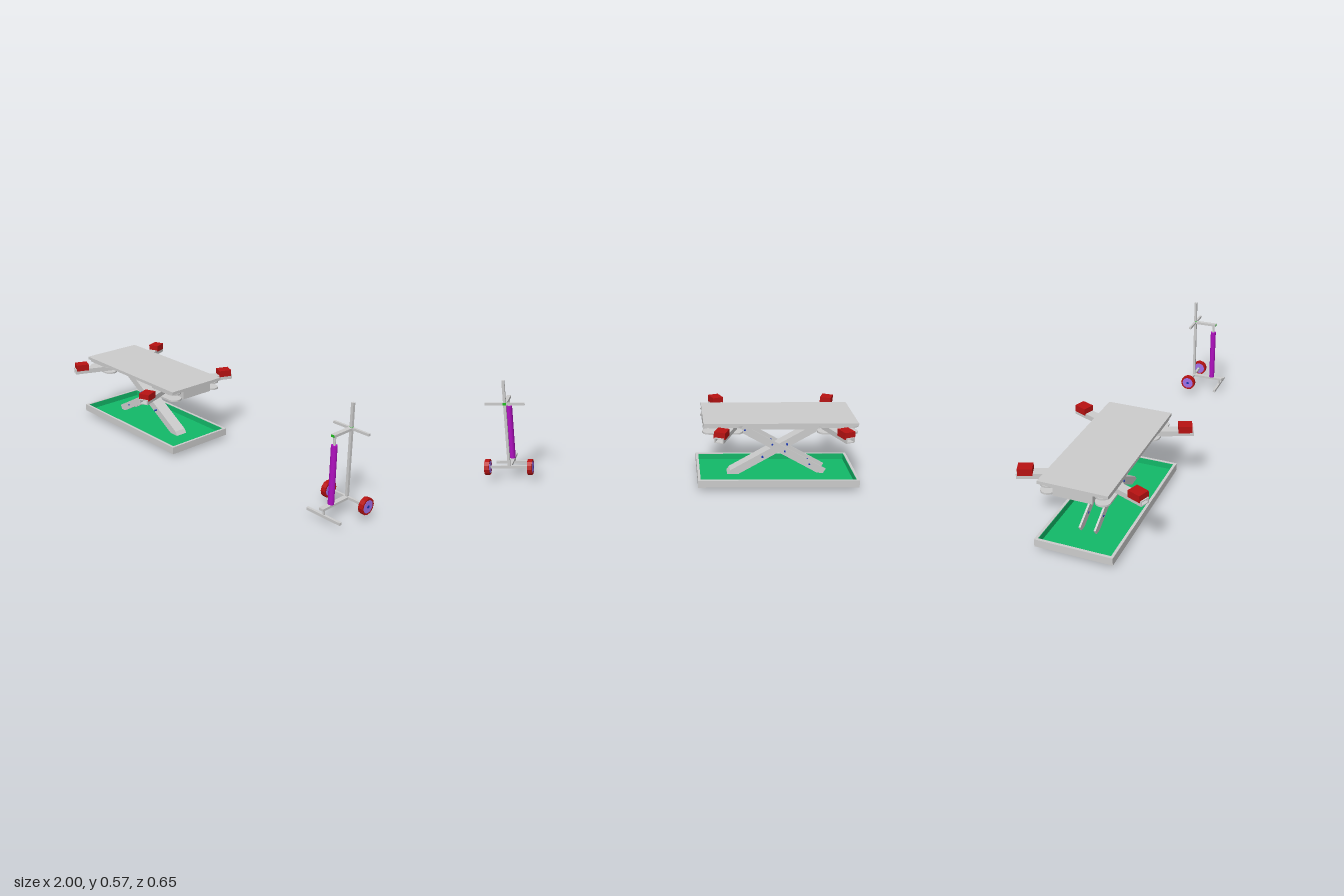
import * as THREE from 'three';

const mat = (color, side = THREE.FrontSide) => new THREE.MeshStandardMaterial({ color, side, flatShading: true });
const grey = mat(0xcccccc), red = mat(0xb81212), green = mat(0x12b868), purple = mat(0xb010c0);
const lilac = mat(0xa070e8), blue = mat(0x1535b8), lime = mat(0x1fc01f);

function add(parent, name, geometry, material, x = 0, y = 0, z = 0) {
  const mesh = new THREE.Mesh(geometry, material);
  mesh.name = name;
  mesh.position.set(x, y, z);
  parent.add(mesh);
  return mesh;
}
const box = (parent, name, m, w, h, d, x, y, z) => add(parent, name, new THREE.BoxGeometry(w, h, d), m, x, y, z);

function rect(Type, w, h) {
  const p = new Type();
  p.moveTo(-w / 2, -h / 2);
  p.lineTo(w / 2, -h / 2);
  p.lineTo(w / 2, h / 2);
  p.lineTo(-w / 2, h / 2);
  p.closePath();
  return p;
}
const extrude = (shape, depth) => new THREE.ExtrudeGeometry(shape, { depth, bevelEnabled: false, curveSegments: 12 });

// Rectangular frame lying flat, starting at y = 0
function frame(w, d, wall, height) {
  const s = rect(THREE.Shape, w, d);
  s.holes.push(rect(THREE.Path, w - 2 * wall, d - 2 * wall));
  return extrude(s, height).rotateX(-Math.PI / 2);
}

// Plate with rounded ends lying flat, starting at y = 0
function roundedPlate(length, width, height) {
  const r = width / 2, a = length / 2 - r, s = new THREE.Shape();
  s.absarc(a, 0, r, -Math.PI / 2, Math.PI / 2);
  s.absarc(-a, 0, r, Math.PI / 2, Math.PI * 1.5);
  s.closePath();
  return extrude(s, height).rotateX(-Math.PI / 2);
}

// Scissor leg with one chamfered corner at each end, centred on its pivot
function legGeometry(half, width, depth) {
  const w = width / 2, s = new THREE.Shape();
  s.moveTo(-half + 0.03, -w);
  s.lineTo(half, -w);
  s.lineTo(half, w * 0.3);
  s.lineTo(half - 0.03, w);
  s.lineTo(-half, w);
  s.lineTo(-half, -w * 0.3);
  s.closePath();
  return extrude(s, depth).translate(0, 0, -depth / 2);
}

function createLift() {
  const lift = new THREE.Group();
  lift.name = 'scissorLift';
  lift.position.x = -0.574;

  // Tray
  add(lift, 'trayRim', frame(0.852, 0.394, 0.014, 0.04), grey, 0, 0.028, 0);
  add(lift, 'trayLining', frame(0.824, 0.366, 0.002, 0.037), green, 0, 0.029, 0);
  box(lift, 'trayFloor', green, 0.824, 0.005, 0.366, 0, 0.0315, 0);

  // Scissor legs: one wide centre leg between a pair of thin legs
  const centre = add(lift, 'centreLeg', legGeometry(0.305, 0.042, 0.068), grey, 0, 0.18, 0);
  centre.rotation.z = -0.54;
  for (const s of [-1, 1]) {
    const leg = add(lift, 'outerLeg', legGeometry(0.3, 0.042, 0.01), grey, 0, 0.197, s * 0.039);
    leg.rotation.z = 0.51;
    for (const [x, y] of [[-0.182, 0.097], [-0.045, 0.172], [0.024, 0.212], [0.174, 0.295], [-0.056, 0.212], [0.074, 0.138]]) {
      const bolt = add(lift, 'bolt', new THREE.CylinderGeometry(0.005, 0.005, 0.016, 10), blue, x, y, s * 0.039);
      bolt.rotation.x = Math.PI / 2;
    }
  }

  // Platform with open channel underneath
  box(lift, 'platform', grey, 0.804, 0.016, 0.346, 0, 0.37, 0);
  add(lift, 'platformChannel', frame(0.8, 0.194, 0.012, 0.046), grey, 0, 0.317, 0);
  for (const s of [-1, 1]) box(lift, 'channelRail', grey, 0.37, 0.04, 0.01, 0, 0.342, s * 0.055);

  // Swing arms with pads, one at each corner
  for (const sx of [-1, 1]) for (const sz of [-1, 1]) {
    for (const y of [0.317, 0.353]) add(lift, 'armBracket', roundedPlate(0.212, 0.074, 0.009), grey, sx * 0.3, y, sz * 0.134);
    const arm = new THREE.Group();
    arm.name = 'swingArm';
    arm.position.set(sx * 0.257, 0.339, sz * 0.132);
    arm.rotation.y = Math.atan2(sx * 0.37, sz * 0.93);
    lift.add(arm);
    const tube = rect(THREE.Shape, 0.05, 0.027);
    tube.holes.push(rect(THREE.Path, 0.038, 0.017));
    add(arm, 'armTube', extrude(tube, 0.232), grey, 0, 0, -0.034);
    add(arm, 'armPivot', new THREE.CylinderGeometry(0.012, 0.012, 0.045, 12), grey);
    box(arm, 'liftPad', red, 0.06, 0.036, 0.07, 0, 0.024, 0.156);
  }
  return lift;
}

function createPumpTrolley() {
  const trolley = new THREE.Group();
  trolley.name = 'pumpTrolley';
  trolley.position.x = 0.87;
  const back = -0.046;

  // Wheels and axle
  for (const s of [-1, 1]) {
    const wheel = new THREE.Group();
    wheel.name = 'wheel';
    wheel.position.set(s * 0.115, 0.085, back);
    wheel.rotation.z = Math.PI / 2;
    trolley.add(wheel);
    add(wheel, 'tyre', new THREE.CylinderGeometry(0.043, 0.043, 0.026, 12), red);
    add(wheel, 'hub', new THREE.CylinderGeometry(0.033, 0.033, 0.028, 20), lilac);
    add(wheel, 'hubCap', new THREE.CylinderGeometry(0.008, 0.008, 0.03, 12), blue);
  }
  box(trolley, 'axle', grey, 0.21, 0.013, 0.013, 0, 0.0855, back);

  // Base beam and front foot
  box(trolley, 'baseBeam', grey, 0.026, 0.013, 0.192, 0, 0.0855, 0.044);
  box(trolley, 'footStem', grey, 0.01, 0.032, 0.008, 0, 0.064, 0.119);
  box(trolley, 'footBar', grey, 0.205, 0.014, 0.014, 0, 0.045, 0.119);

  // Column, handle and top arm
  box(trolley, 'column', grey, 0.014, 0.494, 0.014, 0, 0.326, back);
  box(trolley, 'handleBar', grey, 0.21, 0.012, 0.012, 0, 0.445, back);
  box(trolley, 'columnSleeve', lime, 0.017, 0.014, 0.016, 0, 0.445, back);
  box(trolley, 'topArm', grey, 0.022, 0.013, 0.124, 0, 0.4445, 0.023);
  box(trolley, 'armEndCap', lime, 0.018, 0.012, 0.003, 0, 0.4445, 0.085);

  // Pump cylinder and rod
  const smooth = new THREE.MeshStandardMaterial({ color: 0xb010c0 });
  add(trolley, 'pumpCylinder', new THREE.CylinderGeometry(0.0155, 0.0155, 0.304, 24), smooth, 0, 0.243, 0.071);
  add(trolley, 'pumpRod', new THREE.CylinderGeometry(0.007, 0.007, 0.046, 16), grey, 0, 0.417, 0.071);
  return trolley;
}

export function createModel() {
  const model = new THREE.Group();
  model.name = 'liftAndPump';
  model.add(createLift(), createPumpTrolley());
  return model;
}
